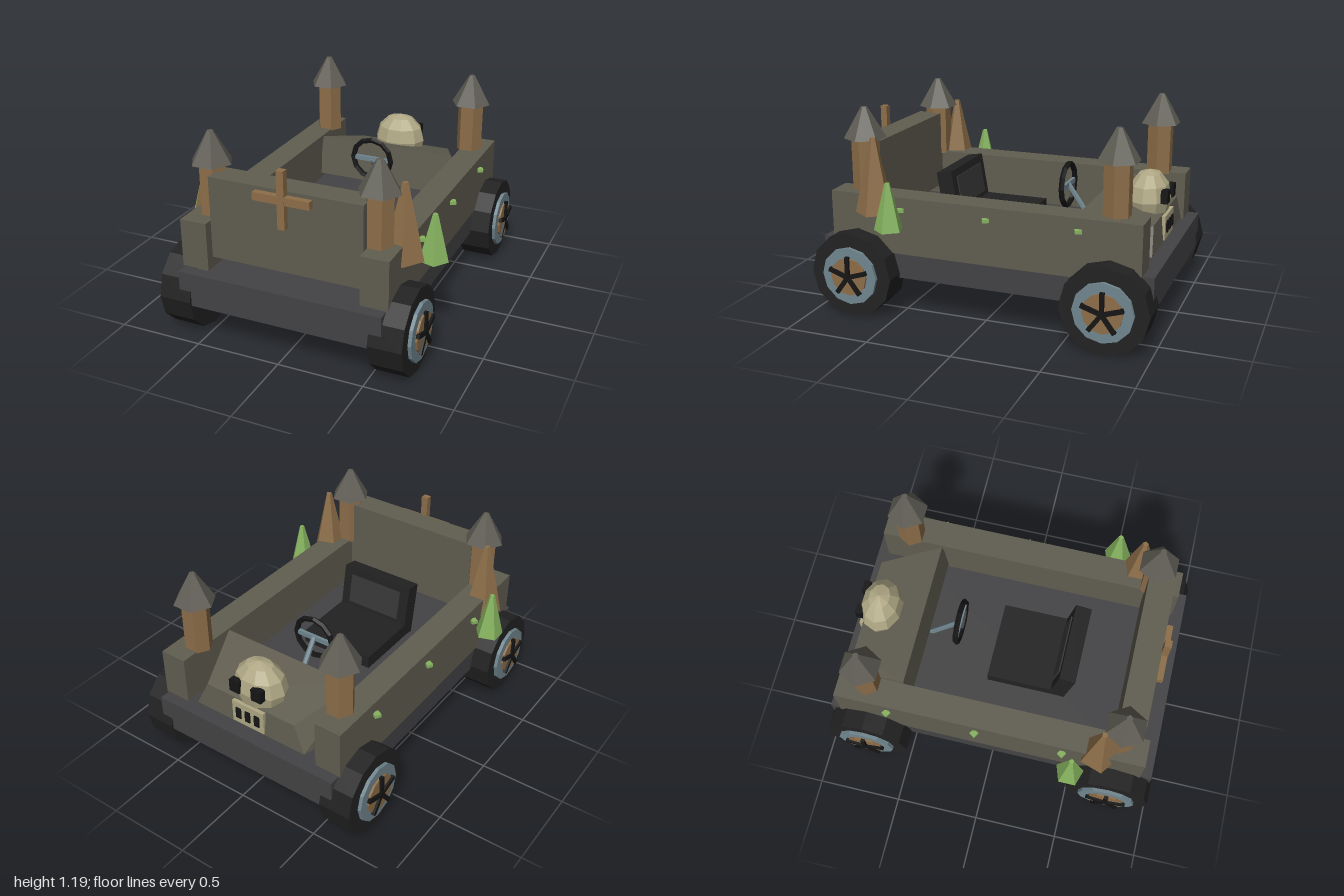
import * as THREE from 'three';

const mat = (name, color) => {
  const m = new THREE.MeshStandardMaterial({ color, flatShading: true });
  m.name = name;
  return m;
};

export function createModel() {
  const root = new THREE.Group();
  root.name = 'castleCar';
  const grey = mat('chassisGrey', 0x434345);
  const stone = mat('stone', 0x605d50);
  const slate = mat('roofSlate', 0x5f5d54);
  const wood = mat('wood', 0x8d6e49);
  const green = mat('foliage', 0x86b35f);
  const rubber = mat('rubber', 0x222222);
  const steel = mat('blueSteel', 0x71868f);
  const bone = mat('bone', 0xb0a885);
  const black = mat('black', 0x151515);
  const panel = mat('seatPanel', 0x363636);

  const cx = -0.01; // body centre line

  const add = (name, geo, m, x, y, z, parent = root) => {
    const mesh = new THREE.Mesh(geo, m);
    mesh.name = name;
    mesh.position.set(x, y, z);
    parent.add(mesh);
    return mesh;
  };
  // box from its limits
  const box = (name, m, x0, x1, y0, y1, z0, z1, parent) =>
    add(name, new THREE.BoxGeometry(x1 - x0, y1 - y0, z1 - z0), m,
      (x0 + x1) / 2, (y0 + y1) / 2, (z0 + z1) / 2, parent);
  // upright tapered prism from y0 to y1
  const prism = (name, m, rTop, rBase, sides, x, y0, y1, z, turn = 0) => {
    const p = add(name, new THREE.CylinderGeometry(rTop, rBase, y1 - y0, sides), m, x, (y0 + y1) / 2, z);
    p.rotation.y = turn;
    return p;
  };

  // Chassis and walls
  box('chassis', grey, cx - 0.6, cx + 0.6, 0.225, 0.425, -0.983, 0.98);
  box('rightWall', stone, -0.62, -0.46, 0.375, 0.71, -0.917, 0.91);
  box('leftWall', stone, 0.44, 0.602, 0.375, 0.71, -0.917, 0.91);
  box('frontWall', stone, -0.46, 0.44, 0.49, 0.967, 0.705, 0.858);

  // Cross on the front wall
  box('crossUpright', wood, cx - 0.021, cx + 0.021, 0.758, 1.09, 0.855, 0.895);
  box('crossArm', wood, cx - 0.166, cx + 0.166, 0.9, 0.946, 0.856, 0.894);

  // Corner towers
  for (const x of [-0.5, 0.48]) {
    for (const z of [-0.745, 0.745]) {
      prism('tower', wood, 0.08, 0.08, 6, x, 0.7, 1.008, z, Math.PI / 6);
      prism('towerRoof', slate, 0.018, 0.121, 6, x, 1.006, 1.185, z, Math.PI / 6);
    }
  }

  // Wooden spires and small trees beside the front towers
  prism('rightSpire', wood, 0.017, 0.115, 5, -0.577, 0.603, 1.035, 0.643);
  prism('leftSpire', wood, 0.017, 0.115, 5, 0.577, 0.603, 1.035, 0.643, Math.PI / 2);
  prism('rightTree', green, 0.015, 0.084, 5, -0.708, 0.547, 0.818, 0.5, Math.PI / 2);
  prism('leftTree', green, 0.015, 0.084, 5, 0.695, 0.547, 0.818, 0.5, Math.PI / 2);

  // Leaf tufts along the walls
  const leaf = new THREE.BoxGeometry(0.036, 0.02, 0.036);
  for (const z of [0.47, -0.045, -0.57]) {
    add('leftLeaf', leaf, green, 0.612, 0.64, z).rotation.y = 0.5;
    add('rightLeaf', leaf, green, -0.635, 0.64, z - 0.035).rotation.y = -0.55;
  }

  // Hood: box narrowed to the top and rear, top sloping down to the rear
  const hoodGeo = new THREE.BoxGeometry(1, 1, 1);
  const hp = hoodGeo.attributes.position;
  for (let i = 0; i < hp.count; i++) {
    const top = hp.getY(i) > 0, front = hp.getZ(i) > 0;
    const half = top ? (front ? 0.44 : 0.3) : (front ? 0.48 : 0.375);
    hp.setXYZ(i, Math.sign(hp.getX(i)) * half,
      top ? (front ? 0.71 : 0.61) : 0.455,
      front ? (top ? -0.545 : -0.522) : (top ? -0.9 : -0.915));
  }
  add('hood', hoodGeo, stone, cx, 0, 0);

  // Skull at the rear
  add('skull', new THREE.SphereGeometry(0.165, 10, 6), bone, -0.012, 0.68, -0.8).scale.z = 0.76;
  box('jaw', bone, -0.12, 0.096, 0.465, 0.605, -0.922, -0.8);
  for (const x of [-0.082, 0.066]) box('eye', black, x - 0.033, x + 0.033, 0.678, 0.752, -0.93, -0.89);
  for (const x of [-0.075, -0.012, 0.051]) box('tooth', black, x - 0.017, x + 0.017, 0.503, 0.57, -0.93, -0.915);

  // Seat
  box('seatCushion', rubber, -0.243, 0.223, 0.45, 0.53, -0.1, 0.36);
  const back = new THREE.Group();
  back.name = 'seatBack';
  back.position.set(cx, 0.45, 0.32);
  back.rotation.x = 0.17;
  root.add(back);
  box('backrest', rubber, -0.233, 0.233, 0, 0.325, -0.045, 0.05, back);
  box('backrestPanel', panel, -0.175, 0.175, 0.1, 0.28, -0.053, -0.044, back);

  // Steering wheel, spokes and column
  add('steeringWheel', new THREE.TorusGeometry(0.125, 0.017, 5, 12), black, cx, 0.705, -0.315);
  box('steeringSpoke', steel, cx - 0.115, cx + 0.115, 0.69, 0.72, -0.324, -0.306);
  const a = new THREE.Vector3(cx, 0.71, -0.315), b = new THREE.Vector3(cx, 0.42, -0.515);
  const col = add('steeringColumn', new THREE.CylinderGeometry(0.016, 0.016, a.distanceTo(b), 6), steel, 0, 0, 0);
  col.position.copy(a).add(b).multiplyScalar(0.5);
  col.quaternion.setFromUnitVectors(new THREE.Vector3(0, 1, 0), a.clone().sub(b).normalize());

  // Wheels, built facing +x and turned for the right side
  const disc = (r, x0, x1) => {
    const g = new THREE.CylinderGeometry(r, r, x1 - x0, 12);
    return g.rotateZ(-Math.PI / 2).translate((x0 + x1) / 2, 0, 0);
  };
  const tyreGeo = disc(0.25, -0.096, 0.096);
  const rimGeo = disc(0.17, 0.09, 0.116);
  const hubGeo = disc(0.112, 0.11, 0.128);
  const spokeGeo = new THREE.BoxGeometry(0.02, 0.122, 0.025).translate(0.132, 0.061, 0);
  for (const side of [-1, 1]) {
    for (const z of [-0.747, 0.747]) {
      const w = new THREE.Group();
      w.name = 'wheel';
      w.position.set(cx + side * 0.625, 0.25, z);
      if (side < 0) w.rotation.y = Math.PI;
      root.add(w);
      add('tyre', tyreGeo, rubber, 0, 0, 0, w);
      add('rim', rimGeo, steel, 0, 0, 0, w);
      add('hub', hubGeo, wood, 0, 0, 0, w);
      for (let i = 0; i < 5; i++) add('spoke', spokeGeo, black, 0, 0, 0, w).rotation.x = (i * Math.PI * 2) / 5;
    }
  }
  return root;
}
